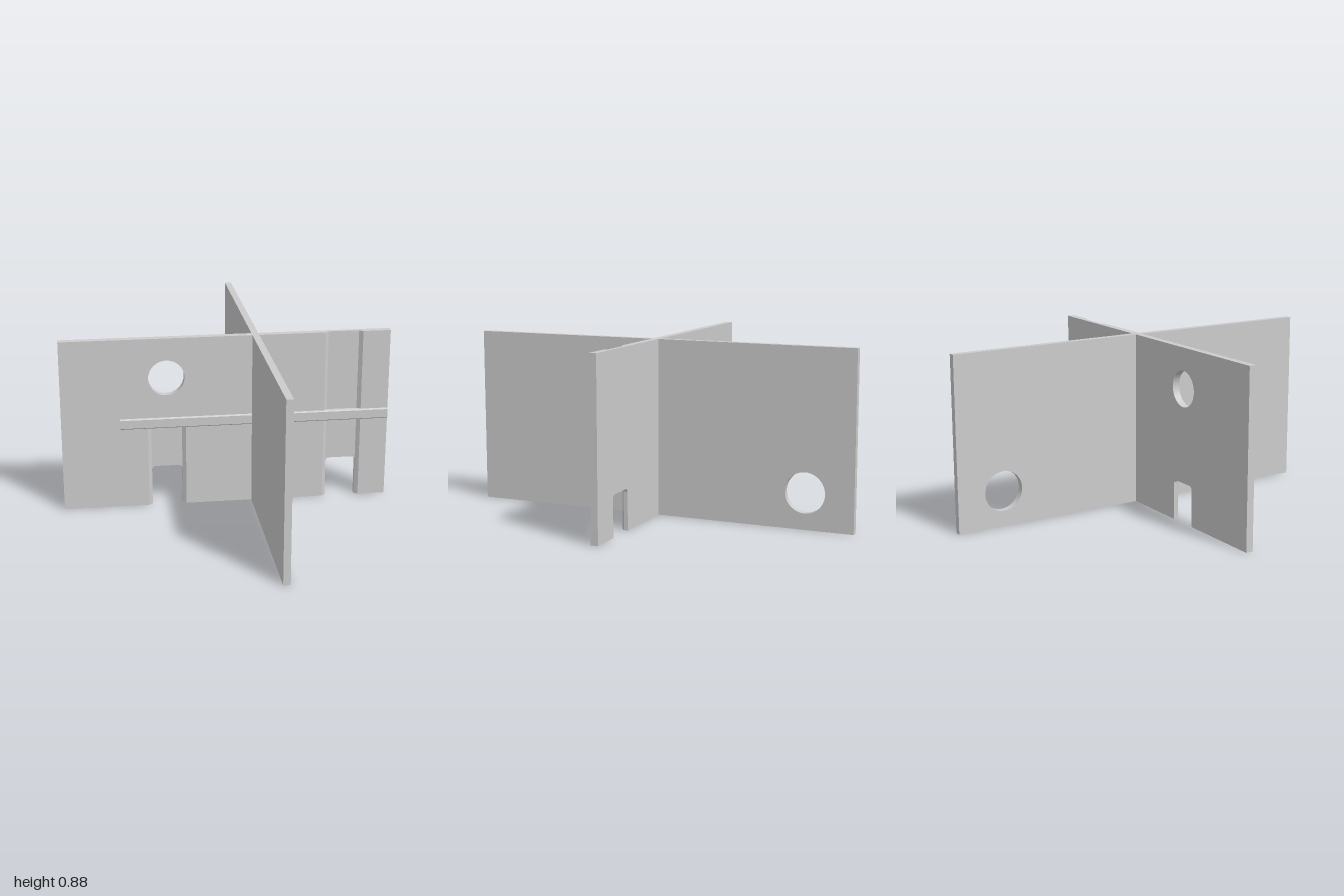
import * as THREE from 'three';

const HALF_W = 0.825, H = 0.88;
const Z_BACK = 0.005, Z_GROOVE = 0.026, Z_FRONT = 0.042, Z_RIB = 0.05;
const RIB_LOW = 0.415, RIB_HIGH = 0.47;
const NOTCH_H = 0.205, SLOPE = 0.018;
const NOTCHES = [[-0.378, -0.224], [0.514, 0.668]];

const material = new THREE.MeshStandardMaterial({ color: 0xcccccc });

function polygon(points) {
  return new THREE.Shape(points.map(([x, y]) => new THREE.Vector2(x, y)));
}

function extrude(shape, depth) {
  return new THREE.ExtrudeGeometry(shape, { depth, bevelEnabled: false, curveSegments: 24 });
}

function circleHole(x, y, r) {
  return new THREE.Path().absarc(x, y, r, 0, Math.PI * 2, true);
}

export function createModel() {
  const model = new THREE.Group();
  const add = (name, geometry) => {
    const mesh = new THREE.Mesh(geometry, material);
    mesh.name = name;
    model.add(mesh);
  };

  // Rear layer of the wide panel, with round-cornered notches in its foot
  const r = 0.02;
  const rear = new THREE.Shape().moveTo(-HALF_W, 0);
  for (const [a, b] of NOTCHES) {
    rear.lineTo(a, 0).lineTo(a, NOTCH_H - r);
    rear.absarc(a + r, NOTCH_H - r, r, Math.PI, Math.PI / 2, true);
    rear.absarc(b - r, NOTCH_H - r, r, Math.PI / 2, 0, true);
    rear.lineTo(b, 0);
  }
  rear.lineTo(HALF_W, 0).lineTo(HALF_W, H).lineTo(-HALF_W, H).closePath();
  rear.holes.push(circleHole(-0.3, 0.677, 0.09));
  add('widePanelRear', extrude(rear, Z_GROOVE - Z_BACK).translate(0, 0, Z_BACK));

  // Front layer, cut away where the shallow grooves run
  const outline = [[-HALF_W, 0]];
  for (const [a, b] of NOTCHES) {
    outline.push([a - SLOPE, 0], [a - SLOPE, RIB_LOW], [b + SLOPE, RIB_LOW], [b + SLOPE, 0]);
  }
  const [ga, gb] = NOTCHES[1];
  outline.push([HALF_W, 0], [HALF_W, H], [gb + SLOPE, H], [gb + SLOPE, RIB_HIGH],
    [ga - SLOPE, RIB_HIGH], [ga - SLOPE, H], [-HALF_W, H]);
  const front = polygon(outline);
  front.holes.push(circleHole(-0.3, 0.677, 0.09));
  add('widePanelFront', extrude(front, Z_FRONT - Z_GROOVE).translate(0, 0, Z_GROOVE));

  // Sloped sides of the grooves
  const addSlopes = ([a, b], y0, y1) => {
    for (const [foot, dir] of [[a, -1], [b, 1]]) {
      const wedge = polygon([[foot, -Z_GROOVE], [foot + dir * SLOPE, -Z_GROOVE],
        [foot + dir * SLOPE, -Z_FRONT]]);
      add('grooveSlope', extrude(wedge, y1 - y0).rotateX(-Math.PI / 2).translate(0, y0, 0));
    }
  };
  for (const notch of NOTCHES) addSlopes(notch, 0, RIB_LOW);
  addSlopes(NOTCHES[1], RIB_HIGH, H);

  // Horizontal rib with slightly chamfered edges
  const ribX = -0.535;
  const rib = polygon([[-Z_GROOVE, RIB_LOW], [-Z_FRONT, RIB_LOW], [-Z_RIB, RIB_LOW + 0.006],
    [-Z_RIB, RIB_HIGH - 0.006], [-Z_FRONT, RIB_HIGH], [-Z_GROOVE, RIB_HIGH]]);
  add('rib', extrude(rib, HALF_W - ribX).rotateY(Math.PI / 2).translate(ribX, 0, 0));

  // Long crossing panel with a round hole near its rear foot
  const cross = polygon([[-1, 0], [1, 0], [1, H], [-1, H]]);
  cross.holes.push(circleHole(0.757, 0.18, 0.1));
  add('crossPanel', extrude(cross, 0.034).rotateY(Math.PI / 2).translate(0.128, 0, 0));

  return model;
}
